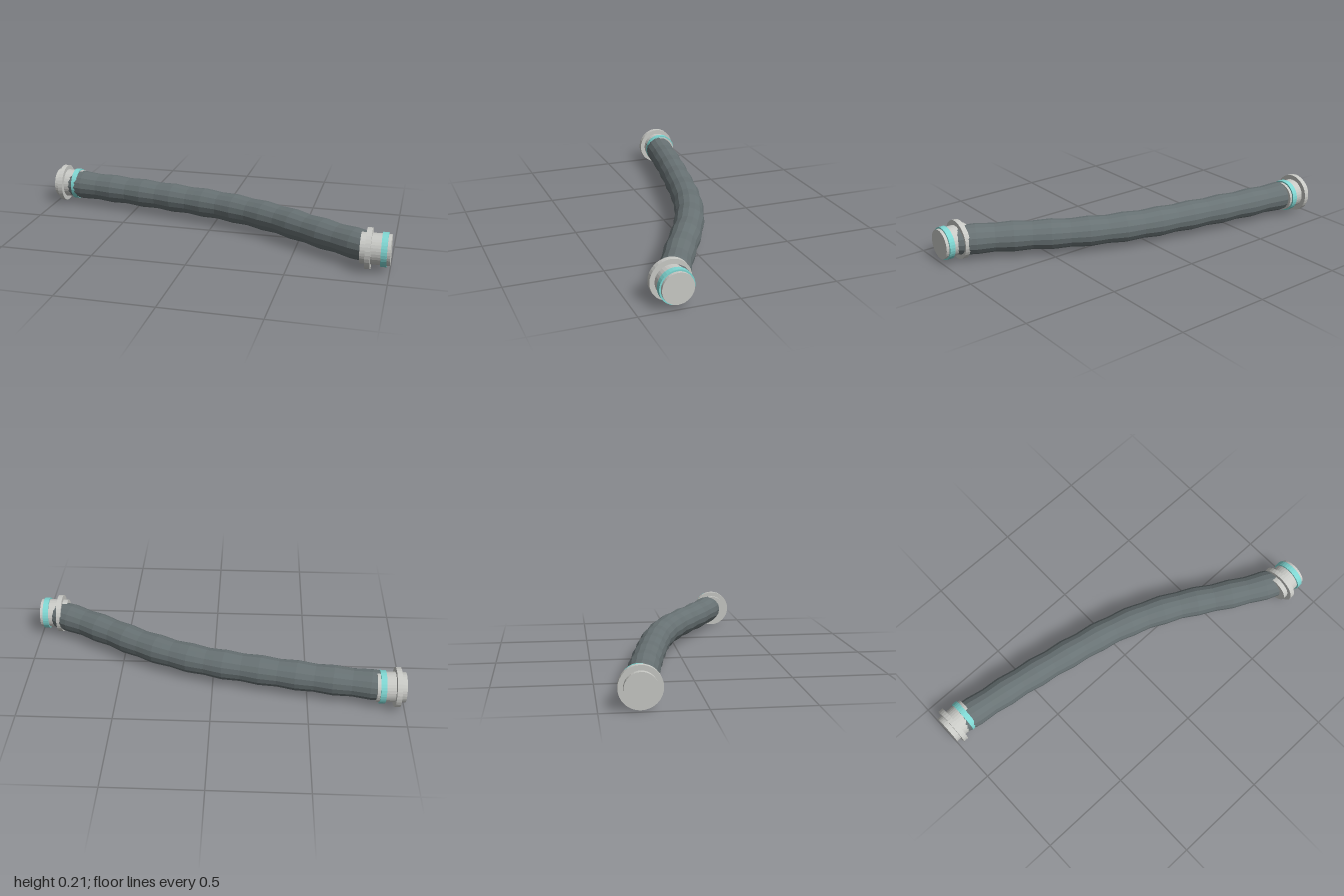
import * as THREE from 'three';

const mat = (name, color) => {
  const m = new THREE.MeshStandardMaterial({ color });
  m.name = name;
  return m;
};

// Split faces so that every facet is shaded flat
const faceted = (geometry) => {
  const g = geometry.toNonIndexed();
  g.computeVertexNormals();
  return g;
};

export function createModel() {
  const rubber = mat('slate rubber', 0x687274);
  const metal = mat('pale grey metal', 0xc8c9c5);
  const teal = mat('teal seal', 0x7fd6d2);
  rubber.side = THREE.DoubleSide; // the hose is open inside the couplings

  const model = new THREE.Group();
  model.name = 'flexibleHose';
  const Y = 0.107;

  // Hose: bent tube whose radius swells and narrows along its length
  const path = new THREE.CatmullRomCurve3([
    [-0.925, -0.305], [-0.8, -0.286], [-0.6, -0.256], [-0.4, -0.22], [-0.2, -0.18],
    [0, -0.135], [0.2, -0.07], [0.4, 0.022], [0.6, 0.138], [0.78, 0.237], [0.905, 0.297],
  ].map(([x, z]) => new THREE.Vector3(x, Y, z)));
  const swells = 10, rings = swells * 4, sides = 16;
  const tube = new THREE.TubeGeometry(path, rings, 1, sides);
  const pos = tube.attributes.position;
  const v = new THREE.Vector3();
  for (let i = 0; i <= rings; i++) {
    const centre = path.getPointAt(i / rings);
    const radius = 0.0775 - 0.003 * Math.cos((i / rings) * swells * Math.PI * 2);
    for (let j = 0; j <= sides; j++) {
      const k = i * (sides + 1) + j;
      v.fromBufferAttribute(pos, k).sub(centre).setLength(radius).add(centre);
      pos.setXYZ(k, v.x, v.y, v.z);
    }
  }
  const hose = new THREE.Mesh(faceted(tube), rubber);
  hose.name = 'hose';
  model.add(hose);

  // Couplings: sleeve, flange and seal ring, alike at both ends
  const disc = (name, radius, length, x, material) => {
    const g = new THREE.CylinderGeometry(radius, radius, length, 32).rotateZ(-Math.PI / 2);
    const mesh = new THREE.Mesh(faceted(g), material);
    mesh.name = name;
    mesh.position.x = x;
    return mesh;
  };
  for (const [name, s] of [['rightCoupling', -1], ['leftCoupling', 1]]) {
    const coupling = new THREE.Group();
    coupling.name = name;
    coupling.position.set(s * 0.925, Y, s * 0.307);
    coupling.add(
      disc('sleeve', 0.079, 0.15, 0, metal),
      disc('flange', 0.104, 0.027, -0.034, metal),
      disc('sealRing', 0.087, 0.03, 0.044, teal),
    );
    model.add(coupling);
  }
  return model;
}
